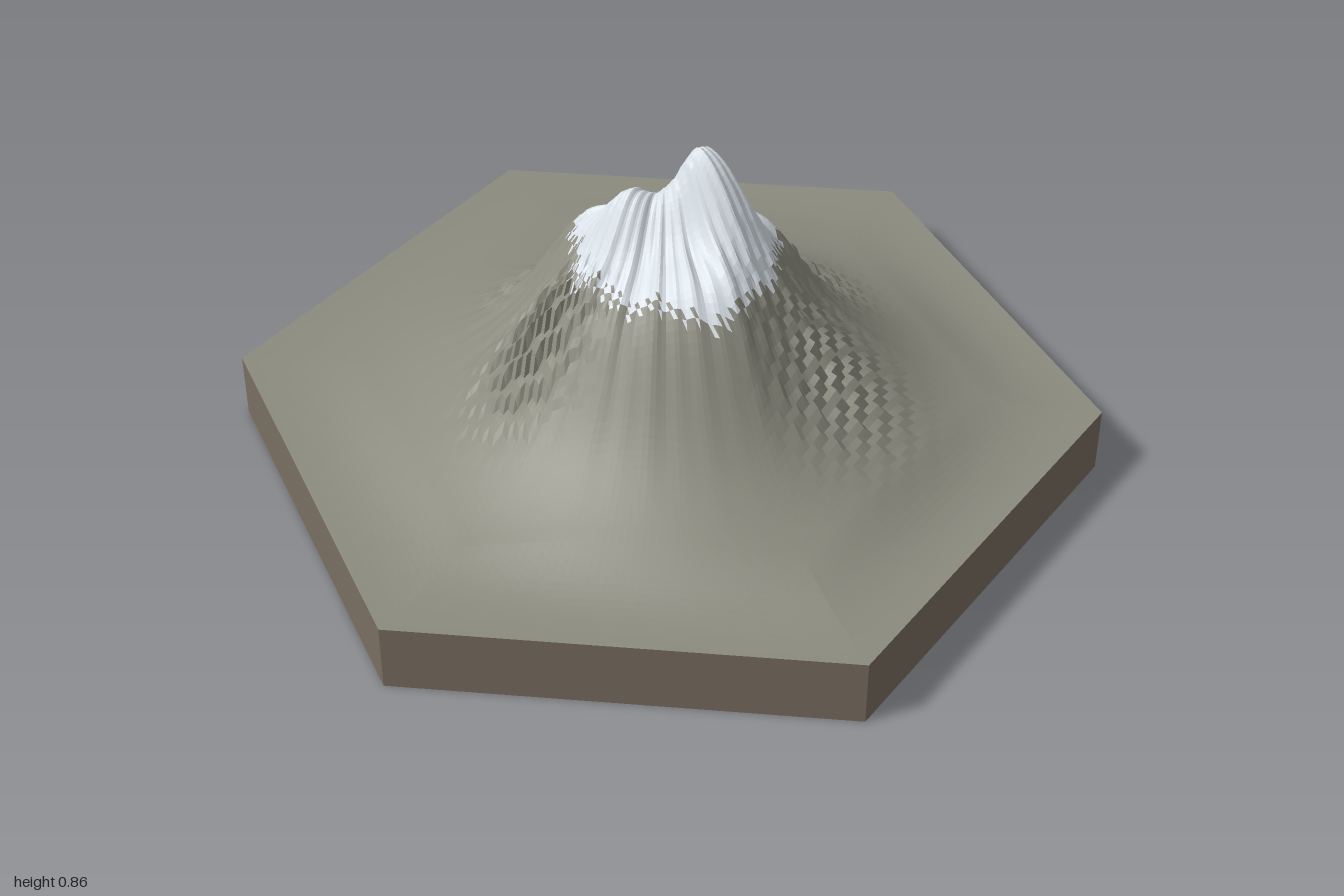
import * as THREE from 'three';

const BASE_Y = 0.16;
const RINGS = 64;
const SEGS = 240;

// Rounded hills added on top of the broad dome: x, z, height, width
const HILLS = [
  [-0.01, 0.13, 0.12, 0.075], // second summit
  [0.27, 0.17, 0.11, 0.12],   // front shoulder
  [-0.17, 0.08, 0.08, 0.1],   // side ridge
  [0.19, -0.14, 0.07, 0.08],  // back knoll
  [0.05, -0.3, 0.05, 0.1],    // back spur
  [0.12, 0.3, 0.05, 0.11],    // front spurs
  [-0.06, 0.3, 0.07, 0.1],
];

// Patches of jagged rock teeth: x, z, height, width
const CRAGS = [
  [-0.1, 0.35, 0.02, 0.1],
  [0.12, -0.34, 0.018, 0.11],
  [0.42, -0.02, 0.016, 0.13],
  [-0.32, 0.05, 0.012, 0.1],
];

const bell = (dx, dz, s) => Math.exp(-(dx * dx + dz * dz) / (s * s));

// Irregular ripple around the mountain, used for gullies and the snow line
const ripple = (a) =>
  0.45 * Math.sin(11 * a + 1) + 0.3 * Math.sin(23 * a + 2) + 0.25 * Math.sin(47 * a + 0.5);

function hexRadius(a) {
  const sector = Math.PI / 3;
  return Math.cos(sector / 2) / Math.cos((a % sector) - sector / 2);
}

function heightAt(x, z, t, a, tooth) {
  let h = 0.5 * bell(x - 0.06, z - 0.05, 0.42);
  // Main summit: steep on one side, narrow from front to back
  const dx = x - 0.11;
  h += 0.205 * bell(dx / (dx < 0 ? 0.075 : 0.16), (z - 0.01) / 0.08, 1);
  for (const [hx, hz, amount, width] of HILLS) h += amount * bell(x - hx, z - hz, width);
  for (const [cx, cz, amount, width] of CRAGS) h += amount * tooth * bell(x - cx, z - cz, width);
  // Gullies run down the flanks
  const r = Math.hypot(x, z);
  h += 0.016 * ripple(a) * Math.exp(-(((r - 0.27) / 0.16) ** 2));
  const fade = 1 - THREE.MathUtils.smoothstep(t, 0.72, 1);
  return BASE_Y + h * fade;
}

function terrainPoints() {
  const rows = [];
  for (let i = 0; i <= RINGS; i++) {
    const t = (i / RINGS) ** 1.25;
    const row = [];
    for (let k = 0; k < SEGS; k++) {
      const a = (k / SEGS) * Math.PI * 2;
      const r = t * hexRadius(a);
      const x = r * Math.sin(a);
      const z = r * Math.cos(a);
      const tooth = ((k + (i % 4) * 2) % 6) / 2.5 - 1;
      row.push([x, heightAt(x, z, t, a, tooth), z, a]);
    }
    rows.push(row);
  }
  return rows;
}

function facetedMesh(name, positions, material) {
  const geometry = new THREE.BufferGeometry();
  geometry.setAttribute('position', new THREE.Float32BufferAttribute(positions, 3));
  geometry.computeVertexNormals();
  const mesh = new THREE.Mesh(geometry, material);
  mesh.name = name;
  return mesh;
}

export function createModel() {
  const model = new THREE.Group();
  model.name = 'mountain';

  const rock = new THREE.MeshStandardMaterial({ color: 0x8c8b7f });
  rock.name = 'rock';
  const snow = new THREE.MeshStandardMaterial({ color: 0xdde5ec });
  snow.name = 'snow';
  const earth = new THREE.MeshStandardMaterial({ color: 0x7a6f62 });
  earth.name = 'earth';

  // Terrain facets, split into rock and snow at a ragged snow line
  const rockFaces = [];
  const snowFaces = [];
  const addFace = (...points) => {
    const y = (points[0][1] + points[1][1] + points[2][1]) / 3;
    const a = points[1][3];
    const line = 0.595 + 0.025 * ripple(a) + 0.015 * Math.sin(80 * a);
    const faces = y > line ? snowFaces : rockFaces;
    for (const p of points) faces.push(p[0], p[1], p[2]);
  };
  const rows = terrainPoints();
  for (let i = 0; i < RINGS; i++) {
    for (let k = 0; k < SEGS; k++) {
      const n = (k + 1) % SEGS;
      addFace(rows[i][k], rows[i + 1][k], rows[i + 1][n]);
      if (i > 0) addFace(rows[i][k], rows[i + 1][n], rows[i][n]);
    }
  }
  model.add(facetedMesh('mountainRock', rockFaces, rock));
  model.add(facetedMesh('snowCap', snowFaces, snow));

  // Hexagonal plinth: side walls and underside
  const walls = new THREE.CylinderGeometry(1, 1, BASE_Y, 6, 1, true).toNonIndexed();
  walls.translate(0, BASE_Y / 2, 0);
  walls.computeVertexNormals();
  const plinth = new THREE.Mesh(walls, earth);
  plinth.name = 'plinthWalls';
  model.add(plinth);

  const floor = new THREE.CircleGeometry(1, 6, Math.PI / 2);
  floor.rotateX(Math.PI / 2);
  const underside = new THREE.Mesh(floor, earth);
  underside.name = 'plinthUnderside';
  model.add(underside);

  return model;
}
